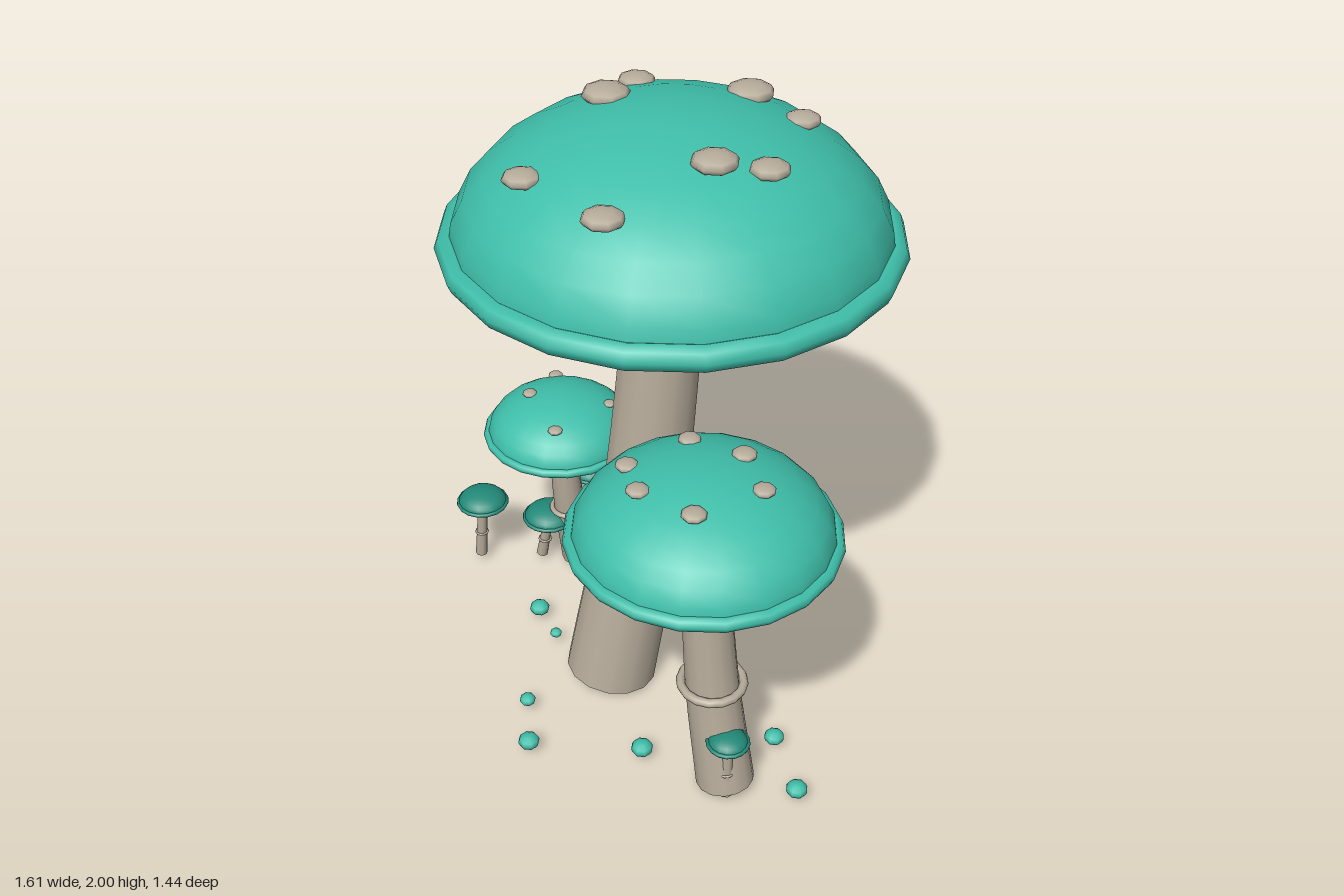
import * as THREE from 'three';

const mat = (name, color) => {
  const m = new THREE.MeshStandardMaterial({ color });
  m.name = name;
  return m;
};

export function createModel() {
  const teal = mat('teal cap', 0x3fbfaa);
  const darkTeal = mat('dark teal cap', 0x228a79);
  const gill = mat('pale gills', 0x7fbcb0);
  const cream = mat('stone stalk', 0xb7ac9b);
  const model = new THREE.Group();
  model.name = 'mushroomCluster';

  function add(parent, name, geometry, material, x = 0, y = 0, z = 0) {
    const mesh = new THREE.Mesh(geometry, material);
    mesh.name = name;
    mesh.position.set(x, y, z);
    parent.add(mesh);
    return mesh;
  }

  // Tapered cylinder bent along a curve through the given points
  function stalkGeometry(points, rBase, rTop, sides) {
    const curve = new THREE.CatmullRomCurve3(points.map(p => new THREE.Vector3(...p)));
    const g = new THREE.CylinderGeometry(rTop, rBase, 1, sides, 10);
    const pos = g.attributes.position, nor = g.attributes.normal;
    const up = new THREE.Vector3(0, 1, 0), q = new THREE.Quaternion();
    const v = new THREE.Vector3(), n = new THREE.Vector3();
    for (let i = 0; i < pos.count; i++) {
      const t = Math.min(1, Math.max(0, pos.getY(i) + 0.5));
      q.setFromUnitVectors(up, curve.getTangentAt(t));
      v.set(pos.getX(i), 0, pos.getZ(i)).applyQuaternion(q).add(curve.getPointAt(t));
      n.fromBufferAttribute(nor, i).applyQuaternion(q);
      pos.setXYZ(i, v.x, v.y, v.z);
      nor.setXYZ(i, n.x, n.y, n.z);
    }
    return g;
  }

  const ringGeometry = (r, tube, sides) =>
    new THREE.TorusGeometry(r, tube, 8, sides).rotateX(Math.PI / 2);

  // Dome, rolled rim and flat gills; y is the rim's middle height
  function addCap(parent, [x, y, z], r, tube, height, material, sides) {
    const dome = new THREE.SphereGeometry(1, sides, 8, 0, Math.PI * 2, 0, Math.PI / 2);
    dome.scale(r, height, r);
    add(parent, 'capDome', dome, material, x, y, z);
    add(parent, 'capRim', ringGeometry(r, tube, sides), material, x, y, z);
    add(parent, 'gills', new THREE.CircleGeometry(r, sides).rotateX(Math.PI / 2), gill,
      x, y - tube * 0.5, z);
  }

  // Flattened bumps [x, z, radius] resting on the dome
  function addSpots(parent, [cx, cy, cz], r, height, spots) {
    for (const [x, z, s] of spots) {
      const d = Math.min(1, Math.hypot(x - cx, z - cz) / r);
      const y = cy + height * Math.sqrt(1 - d * d) + 0.1 * s;
      const spot = new THREE.SphereGeometry(s, 8, 6).scale(1, 0.4, 1);
      add(parent, 'capSpot', spot, cream, x, y, z);
    }
  }

  // Three large mushrooms
  const large = [
    { name: 'tallMushroom', cap: [0.085, 1.617, -0.06], r: 0.622, tube: 0.038, h: 0.375,
      stalk: [[-0.045, 0.025, 0.075], [0.03, 0.68, 0], [0.085, 1.61, -0.055]],
      rBase: 0.147, rTop: 0.114, ring: [0.03, 0.68, 0, 0.154, 0.025],
      spots: [[-0.153, -0.28, 0.055], [-0.153, -0.11, 0.07], [0.17, -0.35, 0.07],
        [0.35, -0.31, 0.053], [0.41, 0.02, 0.057], [0.29, 0.097, 0.066],
        [-0.17, 0.296, 0.056], [0.123, 0.378, 0.06]] },
    { name: 'middleMushroom', cap: [0.405, 0.95, 0.325], r: 0.373, tube: 0.022, h: 0.218,
      stalk: [[0.51, 0.035, 0.337], [0.45, 0.405, 0.328], [0.405, 0.945, 0.325]],
      rBase: 0.09, rTop: 0.068, ring: [0.45, 0.405, 0.328, 0.094, 0.014],
      spots: [[0.18, 0.36, 0.035], [0.27, 0.46, 0.035], [0.455, 0.485, 0.037],
        [0.57, 0.3, 0.034], [0.456, 0.19, 0.037], [0.285, 0.19, 0.034]] },
    { name: 'shortMushroom', cap: [-0.443, 0.615, -0.285], r: 0.246, tube: 0.015, h: 0.143,
      stalk: [[-0.43, 0.03, -0.35], [-0.437, 0.27, -0.312], [-0.445, 0.61, -0.285]],
      rBase: 0.057, rTop: 0.046, ring: [-0.437, 0.27, -0.312, 0.061, 0.009],
      spots: [[-0.55, -0.425, 0.025], [-0.545, -0.255, 0.025],
        [-0.375, -0.14, 0.025], [-0.3, -0.36, 0.022]] },
  ];
  for (const m of large) {
    const g = new THREE.Group();
    g.name = m.name;
    model.add(g);
    add(g, 'stalk', stalkGeometry(m.stalk, m.rBase, m.rTop, 14), cream);
    const [x, y, z, r, tube] = m.ring;
    add(g, 'stalkRing', ringGeometry(r, tube, 16), cream, x, y, z);
    addCap(g, m.cap, m.r, m.tube, m.h, teal, 20);
    addSpots(g, m.cap, m.r, m.h, m.spots);
  }

  // Sprouts: [x, rim height, z, cap radius, base x]
  const sprouts = [
    [-0.715, 0.272, -0.183, 0.084, -0.735],
    [-0.522, 0.21, -0.605, 0.092, -0.53],
    [-0.51, 0.212, -0.29, 0.086, -0.545],
    [-0.13, 0.163, -0.365, 0.078, -0.13],
    [0.055, 0.163, -0.355, 0.082, 0.05],
    [0.54, 0.25, 0.39, 0.06, 0.54],
  ];
  for (const [x, y, z, r, bx] of sprouts) {
    const g = new THREE.Group();
    g.name = 'sprout';
    model.add(g);
    const mid = (x + bx) / 2;
    const points = [[bx, 0.03, z], [mid, (y + 0.03) / 2, z], [x, y, z]];
    add(g, 'sproutStalk', stalkGeometry(points, 0.021, 0.016, 8), cream);
    add(g, 'sproutRing', ringGeometry(0.021, 0.004, 10), cream, mid - 0.002, y * 0.48, z);
    addCap(g, [x, y, z], r, 0.007, r * 0.54, darkTeal, 16);
  }

  // Pebble-like buds on the ground: [x, z, radius]
  const buds = [[-0.385, -0.02, 0.034], [-0.27, 0.06, 0.02], [-0.185, 0.37, 0.026],
    [-0.085, 0.52, 0.034], [0.237, 0.37, 0.035], [0.575, 0.125, 0.032],
    [0.728, 0.285, 0.034], [-0.08, -0.31, 0.03]];
  for (const [x, z, r] of buds) {
    add(model, 'bud', new THREE.SphereGeometry(r, 8, 6).scale(1, 0.7, 1), teal, x, 0.048, z);
  }

  return model;
}
